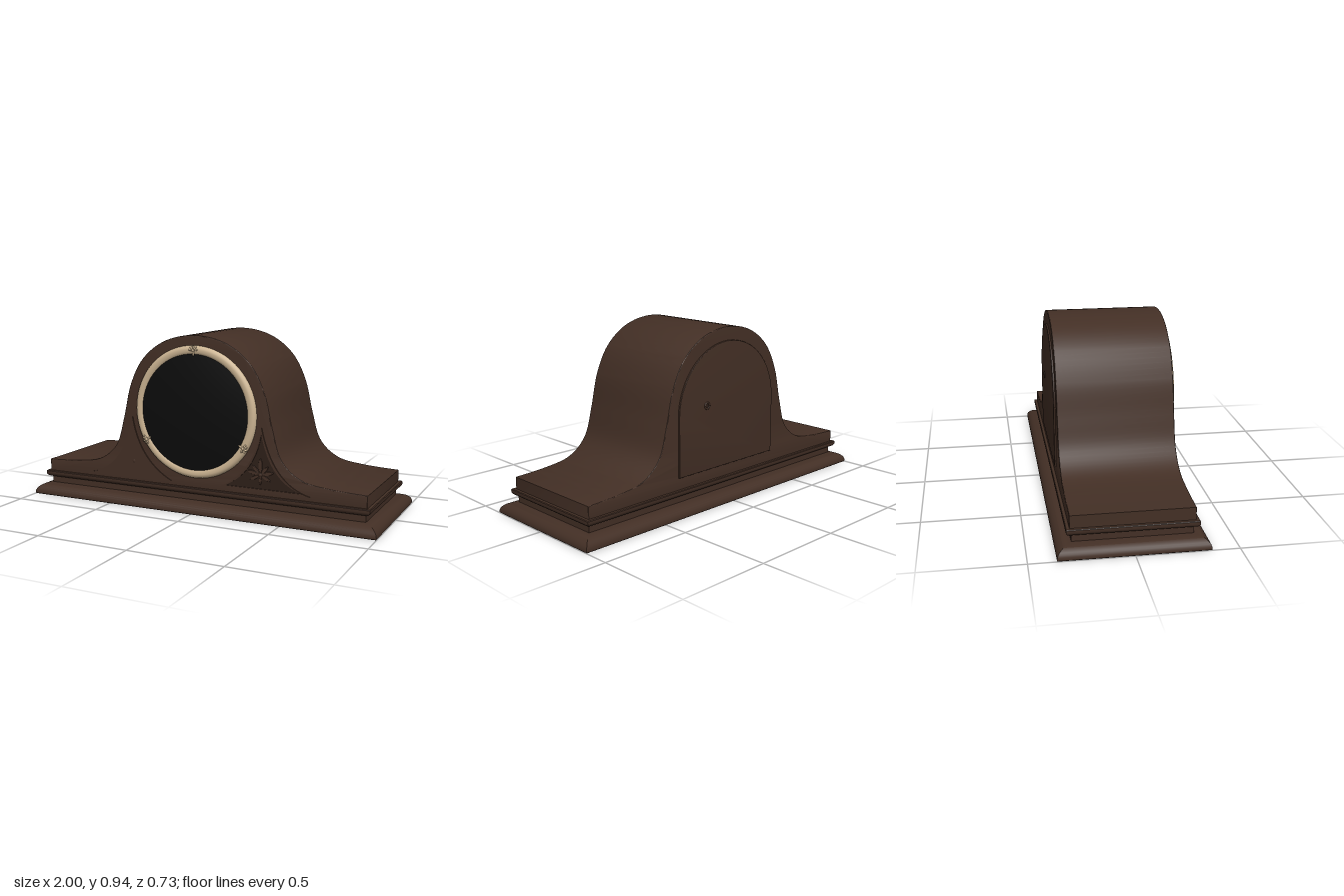
import * as THREE from 'three';
import { toCreasedNormals } from 'three/addons/utils/BufferGeometryUtils.js';

const material = (name, color) => {
  const m = new THREE.MeshStandardMaterial({ color });
  m.name = name;
  return m;
};

export function createModel() {
  const wood = material('dark walnut', 0x432f25);
  const carved = material('carving shade', 0x2e2019);
  const brass = material('pale brass', 0xcdb593);
  const glass = material('black dial', 0x0c0c0c);
  const model = new THREE.Group();
  model.name = 'mantelClock';

  const add = (name, geometry, mat, parent = model) => {
    const mesh = new THREE.Mesh(geometry, mat);
    mesh.name = name;
    parent.add(mesh);
    return mesh;
  };
  const extrude = (shape, z0, z1, bevel = 0, crease = 0.5) => {
    const g = new THREE.ExtrudeGeometry(shape, {
      depth: z1 - z0 - 2 * bevel, curveSegments: 32, bevelEnabled: bevel > 0,
      bevelSize: bevel, bevelThickness: bevel, bevelOffset: -bevel, bevelSegments: 3,
    });
    g.translate(0, 0, z0 + bevel);
    return toCreasedNormals(g, crease);
  };
  const lathe = (points, segments) =>
    new THREE.LatheGeometry(points.map(([r, y]) => new THREE.Vector2(r, y)), segments);

  // Rectangular moulding: a four-sided lathe stretched along x
  const moulding = (profile) => {
    const g = new THREE.LatheGeometry(
      [[1e-4, profile[0][1]], ...profile, [1e-4, profile.at(-1)[1]]].map(([r, y]) => new THREE.Vector2(r, y)),
      4, Math.PI / 4);
    const p = g.attributes.position;
    for (let i = 0; i < p.count; i++) {
      const r = Math.hypot(p.getX(i), p.getZ(i));
      p.setX(i, Math.sign(p.getX(i)) * (r + 0.635));
      p.setZ(i, Math.sign(p.getZ(i)) * r);
    }
    return toCreasedNormals(g.toNonIndexed(), 0.6);
  };

  // Plinth with a quarter-round foot, neck and waist bead
  const foot = [[0.362, 0], [0.365, 0.003], [0.365, 0.008]];
  for (let i = 1; i <= 8; i++) {
    const a = (i / 8) * Math.PI / 2;
    foot.push([0.292 + 0.073 * Math.cos(a), 0.008 + 0.052 * Math.sin(a)]);
  }
  add('plinth', moulding([...foot, [0.292, 0.1]]), wood);
  add('waistBead', moulding([[0.298, 0.095], [0.308, 0.1], [0.315, 0.107], [0.318, 0.115],
    [0.318, 0.127], [0.315, 0.131]]), wood);

  // Case with the humped outline
  const half = [[0.935, 0.195], [0.74, 0.206], [0.59, 0.235], [0.485, 0.325], [0.435, 0.48],
    [0.39, 0.66], [0.31, 0.805], [0.175, 0.903]];
  const outline = [...half, [0, 0.937], ...half.map(([x, y]) => [-x, y]).reverse()]
    .map(([x, y]) => new THREE.Vector2(x, y));
  const hump = new THREE.Shape();
  hump.moveTo(-0.935, 0.128);
  hump.lineTo(0.935, 0.128);
  new THREE.SplineCurve(outline).getPoints(96).forEach((p) => hump.lineTo(p.x, p.y));
  hump.closePath();
  add('case', extrude(hump, -0.301, 0.301, 0.005), wood);

  // Dial, bezel and its three small cast ornaments
  const clock = new THREE.Group();
  clock.name = 'clockFace';
  clock.position.set(0, 0.535, 0.3);
  model.add(clock);
  const ring = [[0.35, -0.002], [0.35, 0.006], [0.346, 0.014], [0.338, 0.02], [0.329, 0.022],
    [0.318, 0.021], [0.308, 0.018], [0.303, 0.012]].reverse();
  add('bezel', lathe(ring.reverse(), 96).rotateX(Math.PI / 2), brass, clock);
  const dome = [];
  for (let i = 0; i <= 12; i++) {
    const r = 0.308 * (1 - i / 12);
    dome.push([r, 0.016 + 0.024 * (1 - (r / 0.308) ** 2)]);
  }
  add('dial', lathe(dome, 80).rotateX(Math.PI / 2), glass, clock);
  for (const degrees of [90, 210, 330]) {
    const ornament = new THREE.Group();
    ornament.name = 'bezelOrnament';
    const a = THREE.MathUtils.degToRad(degrees);
    ornament.position.set(0.327 * Math.cos(a), 0.327 * Math.sin(a), 0.019);
    ornament.rotation.z = a - Math.PI / 2;
    clock.add(ornament);
    add('ornamentBoss', new THREE.SphereGeometry(0.01, 12, 8), brass, ornament);
    for (let i = 0; i < 5; i++) {
      const t = (i - 2) * 0.75;
      const lobe = add('ornamentLobe', new THREE.SphereGeometry(1, 10, 6), brass, ornament);
      lobe.scale.set(0.006, 0.013, 0.008);
      lobe.position.set(0.014 * Math.sin(t), 0.012 * Math.cos(t), 0);
      lobe.rotation.z = -t;
    }
    const tail = add('ornamentTail', new THREE.SphereGeometry(1, 10, 6), brass, ornament);
    tail.scale.set(0.006, 0.018, 0.007);
    tail.position.y = -0.013;
  }

  // Carved corner panels on both sides of the dial
  const corner = (s, k) => {
    const at = (x, y) => [s * (0.37 + (x - 0.37) * k), 0.235 + (y - 0.235) * k];
    const shape = new THREE.Shape();
    shape.moveTo(...at(0.64, 0.155));
    shape.quadraticCurveTo(...at(0.44, 0.2), ...at(0.378, 0.485));
    shape.quadraticCurveTo(...at(0.34, 0.25), ...at(0.145, 0.155));
    shape.closePath();
    return shape;
  };
  const leaf = new THREE.Shape();
  leaf.moveTo(0, 0);
  leaf.quadraticCurveTo(0.02, 0.045, 0, 0.075);
  leaf.quadraticCurveTo(-0.02, 0.045, 0, 0);
  const leaves = [[0, 1.15], [0.75, 0.85], [1.35, 1], [2.05, 0.85], [Math.PI, 0.7]];
  for (const s of [1, -1]) {
    const panel = new THREE.Group();
    panel.name = s > 0 ? 'leftCornerPanel' : 'rightCornerPanel';
    model.add(panel);
    const frame = corner(s, 1);
    frame.holes.push(corner(s, 0.86));
    add('panelFrame', extrude(frame, 0.298, 0.307), wood, panel);
    add('panelGround', extrude(corner(s, 0.9), 0.298, 0.302), carved, panel);
    const spray = new THREE.Group();
    spray.name = 'leafSpray';
    spray.position.set(s * 0.373, 0.24, 0);
    panel.add(spray);
    for (const [turn, size] of leaves) {
      for (const side of turn % Math.PI === 0 ? [1] : [1, -1]) {
        const blade = add('leaf', extrude(leaf, 0.3, 0.306, 0.002), wood, spray);
        blade.rotation.z = side * turn;
        blade.scale.set(size, size, 1);
      }
    }
    const bud = add('leafBud', new THREE.SphereGeometry(0.012, 12, 8), wood, spray);
    bud.scale.z = 0.5;
    bud.position.z = 0.303;
  }

  // Arched back door with a small pull
  const door = new THREE.Shape();
  door.moveTo(-0.355, 0.195);
  door.lineTo(0.355, 0.195);
  door.lineTo(0.355, 0.51);
  door.absarc(0, 0.51, 0.355, 0, Math.PI, false);
  door.closePath();
  add('backDoor', extrude(door, -0.31, -0.298, 0.003), wood);
  const pull = add('doorPull', new THREE.TorusGeometry(0.016, 0.005, 8, 24), wood);
  pull.position.set(0.157, 0.543, -0.309);
  const hole = add('pullCentre', new THREE.CircleGeometry(0.013, 20), carved);
  hole.rotation.y = Math.PI;
  hole.position.set(0.157, 0.543, -0.3108);

  return model;
}
